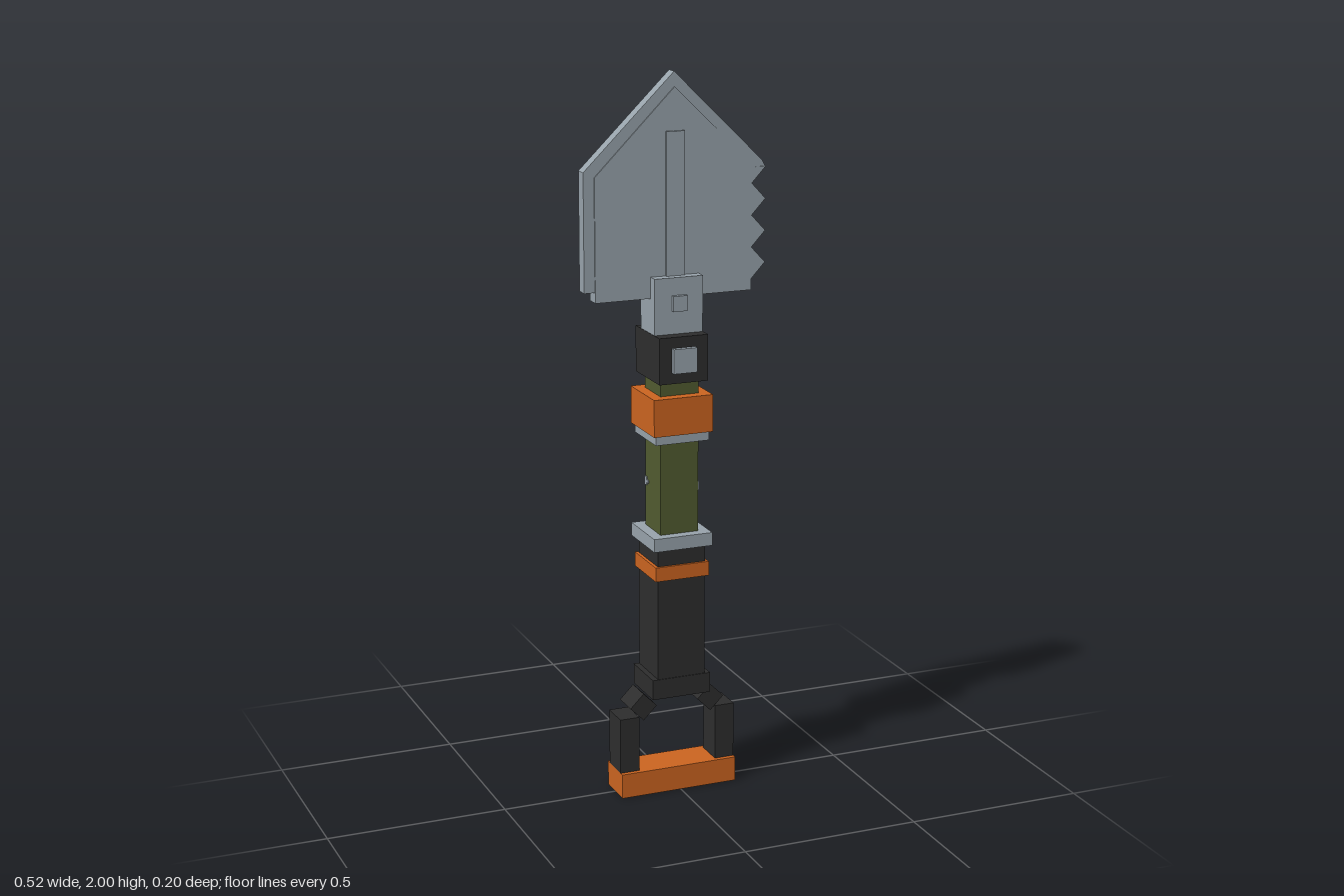
import * as THREE from 'three';

export function createModel() {
  const root = new THREE.Group();
  root.name = 'foldingShovel';
  const mat = (name, color) => {
    const m = new THREE.MeshStandardMaterial({ color });
    m.name = name;
    return m;
  };
  const steel = mat('steel', 0x98a3ab);
  const orange = mat('orange', 0xcb6420);
  const olive = mat('olive', 0x515b30);
  const black = mat('black', 0x2d2d2d);
  const CX = -0.005; // shaft axis

  // Box centred on the shaft axis unless x is given; spans y0..y1
  const box = (name, material, w, y0, y1, d, x = CX, z = 0) => {
    const mesh = new THREE.Mesh(new THREE.BoxGeometry(w, y1 - y0, d), material);
    mesh.name = name;
    mesh.position.set(x, (y0 + y1) / 2, z);
    root.add(mesh);
    return mesh;
  };
  // Flat plate from an outline in the xy plane, centred on z = 0
  const plate = (name, points, depth) => {
    const shape = new THREE.Shape(points.map(([x, y]) => new THREE.Vector2(x, y)));
    const geo = new THREE.ExtrudeGeometry(shape, { depth, bevelEnabled: false });
    geo.translate(0, 0, -depth / 2);
    const mesh = new THREE.Mesh(geo, steel);
    mesh.name = name;
    root.add(mesh);
  };

  // D-shaped handle
  box('handleBar', orange, 0.34, 0, 0.07, 0.11);
  for (const s of [-1, 1]) {
    box('handlePost', black, 0.056, 0.07, 0.228, 0.084, CX + s * 0.142);
    box('handleElbow', black, 0.055, 0.2275, 0.2825, 0.08, CX + s * 0.1).rotation.z = Math.PI / 4;
  }

  // Grip
  box('gripCollar', black, 0.17, 0.285, 0.342, 0.144);
  box('grip', black, 0.138, 0.342, 0.715, 0.14);
  box('gripBand', orange, 0.156, 0.628, 0.668, 0.154);

  // Shaft with its rings and small side catches
  box('lowerRing', steel, 0.17, 0.715, 0.752, 0.168);
  box('shaft', olive, 0.11, 0.752, 1.18, 0.11);
  box('upperRing', steel, 0.154, 1.012, 1.037, 0.154);
  box('lockingNut', orange, 0.17, 1.037, 1.14, 0.17);
  for (const s of [-1, 1]) {
    box('catch', steel, 0.004, 0.868, 0.892, 0.014, CX + s * 0.056, s * 0.047);
    box('catchNub', steel, 0.004, 0.876, 0.884, 0.012, CX + s * 0.056, s * 0.035);
  }

  // Hinge
  box('hingeBlock', black, 0.14, 1.18, 1.307, 0.17);
  box('hingePin', steel, 0.068, 1.21, 1.277, 0.198);
  box('bladeSocket', steel, 0.138, 1.307, 1.46, 0.1);
  box('socketRivet', steel, 0.04, 1.37, 1.412, 0.125);
  box('bladeRib', steel, 0.053, 1.44, 1.845, 0.056);

  // Blade: thick core with saw teeth down one side
  const teeth = [];
  for (let i = 0; i < 4; i++) {
    const y = 1.735 - i * 0.0865;
    teeth.push([0.257, y], [0.217, y - 0.043]);
  }
  plate('bladeCore', [
    [CX, 1.96], [0.228, 1.735], ...teeth, [0.217, 1.402], [-0.23, 1.402], [-0.23, 1.735],
  ], 0.042);

  // Thinner sharpened edge around the core
  plate('bladeEdge', [
    [CX, 2], [0.248, 1.752], [0.257, 1.735], [0.21, 1.69],
    [0.21, 1.43], [-0.26, 1.43], [-0.26, 1.75],
  ], 0.035);

  return root;
}
